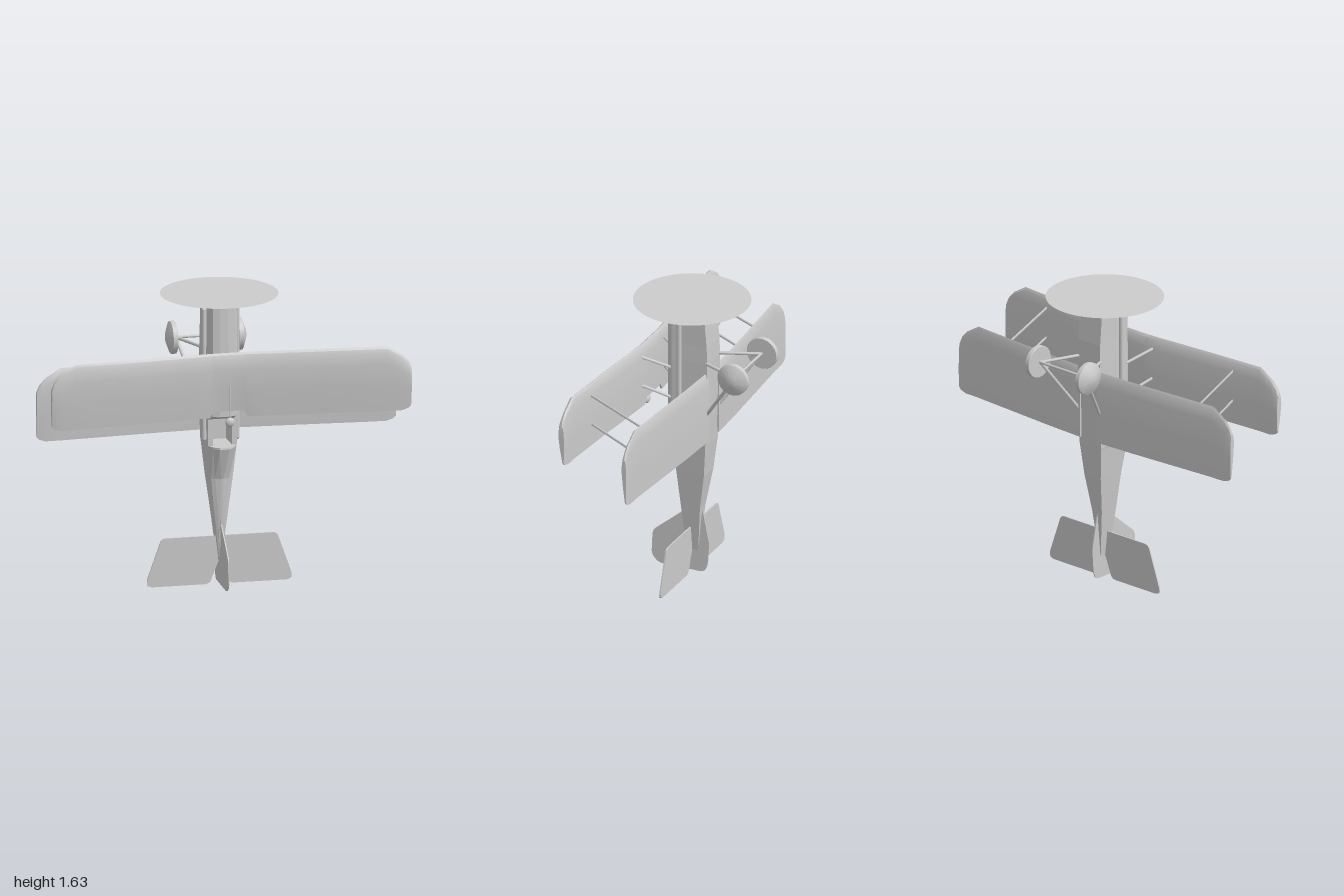
import * as THREE from 'three';
import { toCreasedNormals } from 'three/addons/utils/BufferGeometryUtils.js';

const smooth = new THREE.MeshStandardMaterial({ color: 0xcccccc });
const flat = new THREE.MeshStandardMaterial({ color: 0xcccccc, flatShading: true });
const thin = new THREE.MeshStandardMaterial({ color: 0xcccccc, side: THREE.DoubleSide });

// Closed skin through rings of [x, y, z] points; turned outward by its signed volume
function loft(rings) {
  const n = rings[0].length;
  const pos = rings.flat();
  const tris = [];
  for (let r = 0; r < rings.length - 1; r++) {
    for (let i = 0; i < n; i++) {
      const a = r * n + i, b = r * n + (i + 1) % n;
      tris.push([a, b, b + n], [a, b + n, a + n]);
    }
  }
  [0, rings.length - 1].forEach((r) => {
    const centre = [0, 1, 2].map((k) => rings[r].reduce((s, p) => s + p[k], 0) / n);
    const c = pos.push(centre) - 1;
    for (let i = 0; i < n; i++) {
      const a = r * n + i, b = r * n + (i + 1) % n;
      tris.push(r === 0 ? [b, a, c] : [a, b, c]);
    }
  });
  const V = pos.map((p) => new THREE.Vector3(...p));
  const volume = tris.reduce((s, [a, b, c]) => s + V[a].dot(V[b].clone().cross(V[c])), 0);
  if (volume < 0) tris.forEach((t) => t.reverse());
  const geo = new THREE.BufferGeometry();
  geo.setAttribute('position', new THREE.Float32BufferAttribute(pos.flat(), 3));
  geo.setIndex(tris.flat());
  geo.computeVertexNormals();
  return geo;
}

function add(parent, name, geo, material = smooth) {
  const mesh = new THREE.Mesh(geo, material);
  mesh.name = name;
  parent.add(mesh);
  return mesh;
}

// Rod between two points; a flatness below 1 makes it slimmer across x
function rod(parent, name, a, b, radius, flatness = 1) {
  const from = new THREE.Vector3(...a), to = new THREE.Vector3(...b);
  const dir = to.clone().sub(from);
  const mesh = add(parent, name, new THREE.CylinderGeometry(radius, radius, dir.length(), 8));
  mesh.position.copy(from).add(to).multiplyScalar(0.5);
  mesh.quaternion.setFromUnitVectors(new THREE.Vector3(0, 1, 0), dir.normalize());
  mesh.scale.x = flatness;
}

// Airfoil: [share of chord from leading edge, share of thickness]
const airfoil = [[0, 0.45], [0.03, 0.75], [0.1, 0.93], [0.27, 1], [0.6, 0.75], [1, 0.3],
  [1, 0.05], [0.6, 0], [0.2, 0.05], [0.04, 0.22]];

// Wing through stations [x, leading y, trailing y, underside z, thickness]
function wing(stations) {
  const geo = loft(stations.map(([x, lead, trail, z, t]) =>
    airfoil.map(([c, h]) => [x, lead + (trail - lead) * c, z + h * t])));
  return toCreasedNormals(geo, 0.5);
}

// Flat plate with softened corners, lying in the XY plane
function plate(points, depth) {
  const v = points.map((p) => new THREE.Vector2(...p));
  const shape = new THREE.Shape();
  v.forEach((p, i) => {
    const before = v[(i + v.length - 1) % v.length], after = v[(i + 1) % v.length];
    const a = p.clone().add(before.clone().sub(p).setLength(0.025));
    const b = p.clone().add(after.clone().sub(p).setLength(0.025));
    if (i === 0) shape.moveTo(a.x, a.y); else shape.lineTo(a.x, a.y);
    shape.quadraticCurveTo(p.x, p.y, b.x, b.y);
  });
  const geo = new THREE.ExtrudeGeometry(shape, { depth, bevelEnabled: false, curveSegments: 5 });
  return geo.translate(0, 0, -depth / 2);
}

export function createModel() {
  const model = new THREE.Group();
  model.name = 'biplane';

  // Fuselage sections: y, half width, belly z, shoulder z, then two roof points [width share, z]
  const sections = [
    [1.6, 0.08, -0.06, 0.135, 0.75, 0.166, 0.28, 0.175],
    [1.4, 0.08, -0.077, 0.135, 0.75, 0.166, 0.28, 0.175],
    [1.3, 0.082, -0.08, 0.135, 0.75, 0.166, 0.28, 0.175],
    [0.97, 0.082, -0.075, 0.133, 0.75, 0.165, 0.28, 0.175],
    [0.95, 0.082, -0.074, 0.133, 0.75, 0.135, 0.64, 0.135],
    [0.95, 0.082, -0.074, 0.133, 0.66, 0.133, 0.62, 0.0],
    [0.8, 0.08, -0.068, 0.133, 0.66, 0.133, 0.62, 0.0],
    [0.8, 0.08, -0.068, 0.13, 0.75, 0.168, 0.35, 0.19],
    [0.79, 0.078, -0.067, 0.13, 0.75, 0.168, 0.35, 0.192],
    [0.61, 0.06, -0.05, 0.115, 0.65, 0.123, 0.1, 0.13],
    [0.4, 0.036, -0.015, 0.1, 0.5, 0.108, 0.2, 0.11],
    [0.13, 0.005, 0.01, 0.075, 0.5, 0.08, 0.3, 0.082],
  ];
  add(model, 'fuselage', loft(sections.map(([y, w, belly, shoulder, a, za, b, zb]) => {
    const half = [[w, belly], [w, shoulder], [a * w, za], [b * w, zb]];
    return [...half, ...half.map(([x, z]) => [-x, z]).reverse()].map(([x, z]) => [x, y, z]);
  })), flat);

  // Upper wing in one piece, with a cut-out above the cockpit
  const upper = [
    [0, 1.365, 1.035, 0.277, 0.042], [0.085, 1.365, 1.035, 0.277, 0.042],
    [0.105, 1.365, 1.0, 0.278, 0.042], [0.2, 1.365, 1.0, 0.284, 0.042],
    [0.5, 1.365, 1.0, 0.31, 0.042], [0.865, 1.365, 0.998, 0.337, 0.041],
    [0.95, 1.313, 0.998, 0.338, 0.04], [0.985, 1.275, 1.01, 0.339, 0.038],
    [1, 1.24, 1.025, 0.34, 0.034],
  ];
  const mirrored = upper.slice(1).reverse().map(([x, ...rest]) => [-x, ...rest]);
  add(model, 'upperWing', wing([...mirrored, ...upper]));

  // Sight rod with its round bead on the upper wing
  rod(model, 'sightRod', [0, 1.18, 0.322], [0, 0.96, 0.318], 0.004);
  const bead = add(model, 'sightBead', new THREE.SphereGeometry(0.026, 16, 10));
  bead.scale.z = 0.55;
  bead.position.set(0, 0.98, 0.318);

  for (const s of [1, -1]) {
    const side = new THREE.Group();
    side.name = s > 0 ? 'leftSide' : 'rightSide';
    model.add(side);

    // Lower wing
    const lower = [
      [0.06, 1.245, 0.836, -0.085, 0.031], [0.3, 1.245, 0.836, -0.074, 0.031],
      [0.865, 1.245, 0.836, -0.036, 0.031], [0.95, 1.193, 0.836, -0.035, 0.031],
      [0.985, 1.155, 0.848, -0.035, 0.03], [1, 1.12, 0.865, -0.034, 0.028],
    ];
    add(side, 'lowerWing', wing(lower.map(([x, ...rest]) => [s * x, ...rest])));

    // Struts between the wings and from fuselage to upper wing
    for (const [top, bottom, cabane] of [[1.3, 1.155, 1.235], [1.13, 0.975, 1.055]]) {
      rod(side, 'wingStrut', [s * 0.685, top, 0.33], [s * 0.695, bottom, -0.03], 0.008, 0.5);
      rod(side, 'cabaneStrut', [s * 0.14, top, 0.295], [s * 0.07, cabane, 0.13], 0.008, 0.6);
    }

    // Exhaust pipe along the flank
    const pipe = add(side, 'exhaustPipe', new THREE.CapsuleGeometry(0.014, 0.725, 5, 10));
    pipe.position.set(s * 0.092, 1.192, 0.083);

    // Wheel: flat inside, square tyre, shallow cone outside
    const profile = [[0, -0.014], [0.088, -0.014], [0.09, -0.012], [0.09, 0.012],
      [0.086, 0.015], [0.03, 0.036], [0, 0.042]].map((p) => new THREE.Vector2(...p));
    const wheel = add(side, 'wheel', toCreasedNormals(new THREE.LatheGeometry(profile, 28), 0.5));
    wheel.rotation.z = -s * Math.PI / 2;
    wheel.position.set(s * 0.184, 1.304, -0.287);

    // Landing gear legs
    rod(side, 'gearLeg', [s * 0.165, 1.304, -0.287], [s * 0.075, 1.306, -0.07], 0.009);
    rod(side, 'gearLeg', [s * 0.165, 1.304, -0.287], [s * 0.075, 0.99, -0.07], 0.009);
  }
  rod(model, 'axle', [-0.18, 1.304, -0.287], [0.18, 1.304, -0.287], 0.008);

  // Tailplane with a notch for the rudder
  const tail = add(model, 'tailplane', plate([[-0.32, 0.27], [-0.405, 0.03], [-0.395, 0], [-0.055, 0],
    [0, 0.14], [0.055, 0], [0.395, 0], [0.405, 0.03], [0.32, 0.27]], 0.008));
  tail.position.z = 0.05;

  // Fin and rudder, drawn as [-z, y] and turned to stand along the fuselage
  const fin = add(model, 'finAndRudder', plate([[-0.1, 0.35], [-0.285, 0.195], [-0.292, 0.05], [-0.25, 0.005],
    [0.025, 0.005], [0.045, 0.05], [0.055, 0.18], [0.01, 0.4]], 0.006));
  fin.rotation.y = Math.PI / 2;

  // Spinning propeller disc on a slim shaft ahead of the nose
  const disc = add(model, 'propellerDisc', new THREE.CircleGeometry(0.322, 64), thin);
  disc.rotation.x = -Math.PI / 2;
  disc.position.set(0, 1.635, 0.049);
  rod(model, 'propellerShaft', [0, 1.59, 0.049], [0, 1.635, 0.049], 0.003);

  return model;
}
